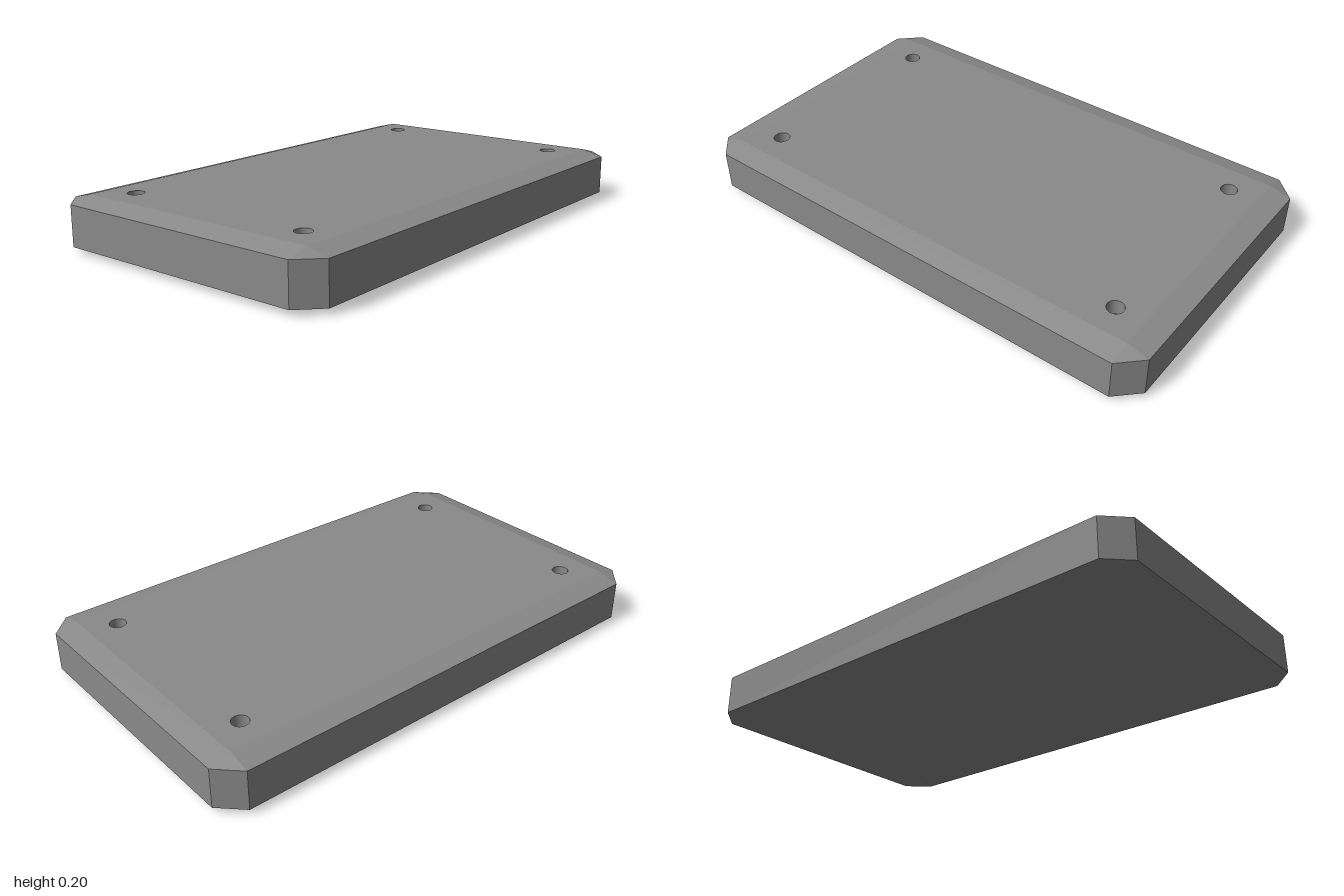
import * as THREE from 'three';

const W = 1, D = 0.6, H = 0.2;        // half width, half depth, height
const CUT = 0.085, BEVEL = 0.022;     // corner cut and bevel height
const X = W - CUT, Z = D - CUT;       // half size of the flat faces
const HOLE_R = 0.032, HOLE_DEPTH = 0.06;
const HOLES = [[-0.8, -0.4], [0.8, -0.4], [0.8, 0.4], [-0.8, 0.4]];

const COLOR = 0x8a8a8a;
const flat = new THREE.MeshStandardMaterial({ color: COLOR, flatShading: true });
const inside = new THREE.MeshStandardMaterial({ color: COLOR, side: THREE.BackSide });

function add(parent, name, geometry, material = flat) {
  const mesh = new THREE.Mesh(geometry, material);
  mesh.name = name;
  parent.add(mesh);
}

// Bevelled rim: octagon sections whose corners close up at the flat faces
function rimGeometry() {
  const outer = [[-X, D], [X, D], [W, Z], [W, -Z], [X, -D], [-X, -D], [-W, -Z], [-W, Z]];
  const inner = outer.map(([x, z]) => [THREE.MathUtils.clamp(x, -X, X), THREE.MathUtils.clamp(z, -Z, Z)]);
  const rings = [[inner, 0], [outer, BEVEL], [outer, H - BEVEL], [inner, H]]
    .map(([pts, y]) => pts.map(([x, z]) => new THREE.Vector3(x, y, z)));
  const positions = [];
  const tri = (a, b, c) => {
    if (a.equals(b) || b.equals(c) || c.equals(a)) return;
    for (const p of [a, b, c]) positions.push(p.x, p.y, p.z);
  };
  for (let r = 0; r < rings.length - 1; r++) {
    for (let i = 0; i < 8; i++) {
      const j = (i + 1) % 8;
      const lo = rings[r], hi = rings[r + 1];
      tri(lo[i], lo[j], hi[j]);
      tri(lo[i], hi[j], hi[i]);
    }
  }
  const geometry = new THREE.BufferGeometry();
  geometry.setAttribute('position', new THREE.Float32BufferAttribute(positions, 3));
  geometry.computeVertexNormals();
  return geometry;
}

// Flat rectangle, optionally pierced by the corner holes
function faceGeometry(pierced) {
  const shape = new THREE.Shape([[-X, -Z], [X, -Z], [X, Z], [-X, Z]].map(p => new THREE.Vector2(...p)));
  if (pierced) {
    for (const [x, z] of HOLES) {
      shape.holes.push(new THREE.Path().absarc(x, -z, HOLE_R, 0, Math.PI * 2, true));
    }
  }
  return new THREE.ShapeGeometry(shape, 16);
}

export function createModel() {
  const model = new THREE.Group();
  model.name = 'bevelledPlate';

  // Plate body
  add(model, 'plateRim', rimGeometry());
  add(model, 'plateTop', faceGeometry(true).rotateX(-Math.PI / 2).translate(0, H, 0));
  add(model, 'plateBottom', faceGeometry(false).rotateX(Math.PI / 2));

  // Blind round holes near the corners
  for (const [x, z] of HOLES) {
    const hole = new THREE.Group();
    hole.name = 'cornerHole';
    hole.position.set(x, H - HOLE_DEPTH, z);
    add(hole, 'holeWall', new THREE.CylinderGeometry(HOLE_R, HOLE_R, HOLE_DEPTH, 32, 1, true)
      .translate(0, HOLE_DEPTH / 2, 0), inside);
    add(hole, 'holeFloor', new THREE.CircleGeometry(HOLE_R, 32).rotateX(-Math.PI / 2));
    model.add(hole);
  }
  return model;
}
